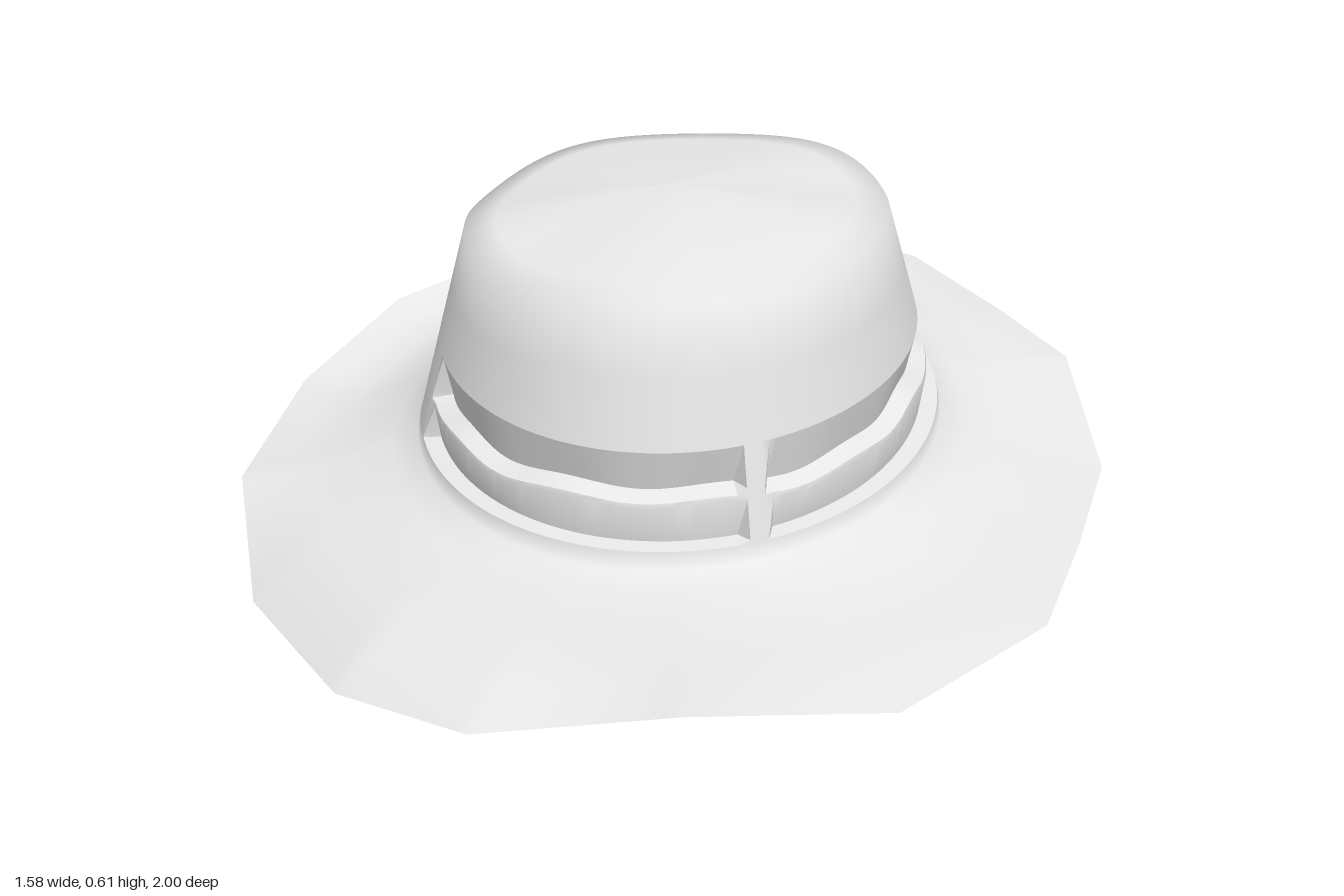
import * as THREE from 'three';
import { toCreasedNormals } from 'three/addons/utils/BufferGeometryUtils.js';

// brim edge, from the back round by the left side: x, z, edge height, height of the crease inside it
const RIM = [
  [0, -1, 0.26, 0.245], [0.16, -0.98, 0.255, 0.25], [0.43, -0.81, 0.235, 0.24],
  [0.61, -0.56, 0.2, 0.21], [0.74, -0.36, 0.17, 0.175], [0.79, 0, 0.08, 0.11],
  [0.73, 0.3, 0.06, 0.085], [0.66, 0.59, 0.045, 0.07], [0.43, 0.88, 0.035, 0.07],
  [0.12, 1, 0.075, 0.085], [-0.2, 1, 0.025, 0.085], [-0.44, 0.86, 0, 0.085],
  [-0.66, 0.58, 0.005, 0.085], [-0.79, 0.23, 0.08, 0.1], [-0.79, -0.18, 0.12, 0.11],
  [-0.68, -0.53, 0.185, 0.145], [-0.44, -0.8, 0.23, 0.195],
];
const STEPS = 12;
const COLS = RIM.length * STEPS;

// upright strips that bridge the hat band: angle from the front, half width
const POSTS = [[0.34, 0.05], [Math.PI, 0.05], [-2.95, 0.05], [-1.18, 0.15]];

// one column of the hat: rim point, direction, crown base and crown top edge
const columns = Array.from({ length: COLS }, (_, i) => {
  const k = Math.floor(i / STEPS), t = (i % STEPS) / STEPS;
  const p = RIM[k], q = RIM[(k + 1) % RIM.length];
  const [x, z, y, mid] = p.map((v, j) => v + (q[j] - v) * t);
  const angle = Math.atan2(x, z);
  const s = Math.sin(angle), c = Math.cos(angle);
  const r = 1 / Math.hypot(s / 0.485, c / 0.61);
  const base = new THREE.Vector3(s * r, 0, c * r + 0.01);
  base.y = 0.19 - 0.115 * base.z;
  const rt = 1 / Math.hypot(s / 0.38, c / 0.475);
  const top = new THREE.Vector3(s * rt, 0, c * rt + 0.055);
  top.y = 0.568 - 0.072 * (top.z - 0.055) + 0.03 * top.x + 0.006 * Math.cos(5 * angle);
  const post = POSTS.some(([a, w]) => {
    const d = Math.abs(angle - a);
    return Math.min(d, 2 * Math.PI - d) < w;
  });
  return { rim: new THREE.Vector3(x, y, z), mid, angle, base, top, post };
});

// point on the crown wall at height y, pushed in by depth
function wall(col, y, depth = 0) {
  const f = (y - col.base.y) / (col.top.y - col.base.y);
  const p = col.base.clone().lerp(col.top, f);
  p.x -= Math.sin(col.angle) * depth;
  p.z -= Math.cos(col.angle) * depth;
  return p;
}
const bandTop = (col) => 0.37 - 0.1 * col.base.z;
const bandBottom = (col) => 0.212 - 0.1 * col.base.z;

// skin over a list of rings, ordered from the top outward
function skin(rings) {
  const pos = [], index = [];
  for (const ring of rings) for (const col of columns) pos.push(...ring(col).toArray());
  for (let r = 0; r < rings.length - 1; r++) {
    for (let i = 0; i < COLS; i++) {
      const j = (i + 1) % COLS, a = r * COLS, b = a + COLS;
      index.push(a + i, b + j, b + i, a + i, a + j, b + j);
    }
  }
  const g = new THREE.BufferGeometry();
  g.setAttribute('position', new THREE.Float32BufferAttribute(pos, 3));
  g.setIndex(index);
  g.computeVertexNormals();
  return g;
}

// ring of the crown's roof, scaled in from the top edge towards the peak
const PEAK = new THREE.Vector3(-0.01, 0.615, 0.05);
const roof = (f) => (col) => {
  const p = PEAK.clone().lerp(col.top, f);
  p.y = PEAK.y + (col.top.y - PEAK.y) * f ** 1.6;
  return p;
};

// ring of the rounded ceiling inside the crown
const ceiling = (f) => (col) => {
  const edge = wall(col, bandTop(col) + 0.03, 0.04);
  const p = PEAK.clone().lerp(edge, f);
  p.y = THREE.MathUtils.lerp(edge.y, PEAK.y - 0.025, Math.sqrt(1 - f ** 3));
  return p;
};

// ring of the brim between the crown base and the edge, lowered by drop
const brim = (f, drop = 0) => (col) => {
  const p = col.base.clone().lerp(col.rim, f);
  p.y = f < 0.6
    ? THREE.MathUtils.lerp(col.base.y, col.mid, 1 - (1 - f / 0.6) ** 1.5)
    : THREE.MathUtils.lerp(col.mid, col.rim.y, ((f - 0.6) / 0.4) ** 1.5);
  p.y -= drop * (1 - f);
  return p;
};

export function createModel() {
  const felt = new THREE.MeshStandardMaterial({ color: 0xe7e7e7, side: THREE.DoubleSide });
  felt.name = 'pale grey felt';
  const hat = new THREE.Group();
  hat.name = 'hat';
  const add = (name, geometry) => {
    const mesh = new THREE.Mesh(geometry, felt);
    mesh.name = name;
    hat.add(mesh);
  };

  // crown: domed roof and tapering wall down to the band
  add('crown', skin([
    roof(0.001), roof(0.3), roof(0.6), roof(0.85), (c) => c.top,
    (c) => wall(c, (c.top.y + bandTop(c)) / 2), (c) => wall(c, bandTop(c)),
  ]));

  // hat band: two undercut grooves with an uneven ridge between, bridged by posts
  const inset = (t, depth) => (c) => {
    const wobble = t > 0.3 && t < 0.7 ? 0.008 * Math.sin(c.angle * 9) * Math.sin(c.angle * 4) : 0;
    const y = THREE.MathUtils.lerp(bandTop(c), bandBottom(c), t) + wobble;
    return wall(c, y, c.post ? 0 : depth);
  };
  add('hatBand', toCreasedNormals(skin([
    inset(0, 0), inset(0.45, 0.035), inset(0.53, 0.005), inset(0.58, 0.005),
    inset(0.97, 0.03), inset(1, 0),
  ]), 0.5));

  // brim: flares from below the band, creases, then curls to a faceted edge
  add('brim', skin([
    (c) => wall(c, bandBottom(c)), brim(0), brim(0.15), brim(0.35),
    brim(0.6), brim(0.8), brim(1),
  ]));

  // lining: rounded ceiling, inner wall behind the band and underside of the brim
  add('lining', skin([
    ...[0.001, 0.3, 0.6, 0.8, 0.92, 1].map(ceiling),
    (c) => wall(c, bandBottom(c), 0.04), brim(0, 0.025), brim(0.15, 0.025),
    brim(0.35, 0.025), brim(0.6, 0.025), brim(0.8, 0.025), brim(1),
  ]));

  return hat;
}
